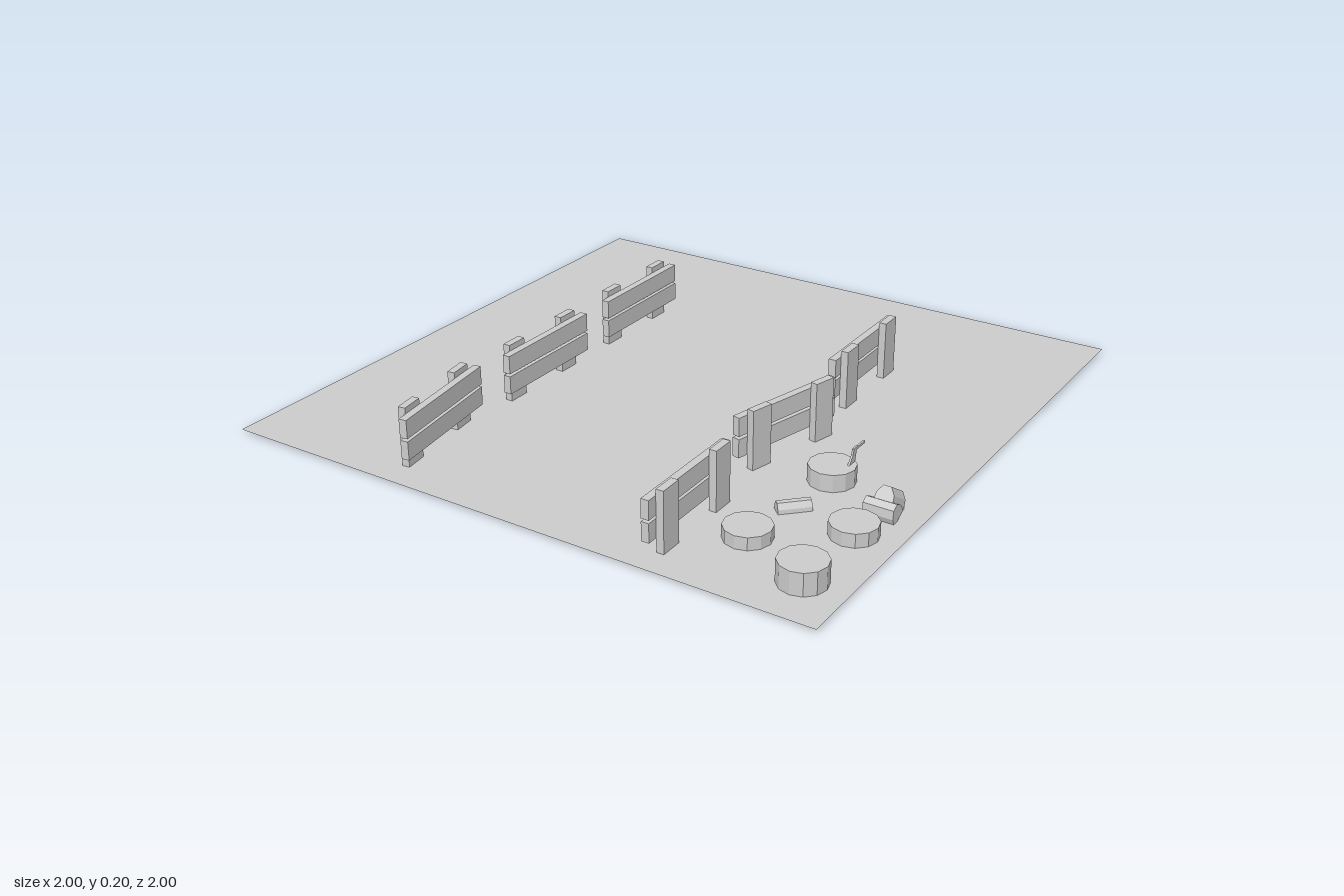
import * as THREE from 'three';

const GROUND_Y = 0.01;

export function createModel() {
  const model = new THREE.Group();
  const grey = new THREE.MeshStandardMaterial({ color: 0xcccccc });
  grey.name = 'plain grey';
  grey.flatShading = true;
  const groundGrey = grey.clone();
  groundGrey.name = 'ground grey';
  groundGrey.side = THREE.DoubleSide;

  function add(parent, name, geometry, x = 0, y = 0, z = 0, material = grey) {
    const mesh = new THREE.Mesh(geometry, material);
    mesh.name = name;
    mesh.position.set(x, y, z);
    parent.add(mesh);
    return mesh;
  }

  // Ground sheet
  add(model, 'ground', new THREE.PlaneGeometry(2, 2).rotateX(-Math.PI / 2), 0, GROUND_Y, 0, groundGrey);

  // Fence section: two rails along z, two wide posts on one side
  const railGeometry = new THREE.BoxGeometry(0.025, 0.06, 0.407);
  const postGeometry = new THREE.BoxGeometry(0.024, 0.192, 0.074);
  function addFence(x, z, turn, side) {
    const fence = new THREE.Group();
    fence.name = 'fence';
    fence.position.set(x, 0, z);
    fence.rotation.y = turn;
    for (const y of [0.084, 0.153]) add(fence, 'rail', railGeometry, 0, y, 0);
    for (const pz of [-0.132, 0.132]) add(fence, 'post', postGeometry, side * 0.0245, 0.106, pz);
    model.add(fence);
  }
  addFence(-0.417, -0.3, 0, -1);
  addFence(-0.417, 0.228, 0, -1);
  addFence(-0.417, 0.737, 0.144, -1);
  addFence(0.446, -0.295, 0.01, 1);
  addFence(0.455, 0.21, -0.25, 1);
  addFence(0.453, 0.742, 0.008, 1);

  // Cut stumps: x, z, top height
  const stumps = [
    [0.67, 0.31, 0.065],
    [0.865, 0.545, 0.053],
    [0.63, 0.712, 0.05],
    [0.865, 0.828, 0.08],
  ];
  for (const [x, z, top] of stumps) {
    const height = top - GROUND_Y;
    add(model, 'stump', new THREE.CylinderGeometry(0.072, 0.072, height, 12), x, GROUND_Y + height / 2, z);
  }

  // Split firewood: rounded bark side up, flat side down, length along z
  function addFirewood(width, height, length, position, rotation) {
    const w = width / 2;
    const section = new THREE.Shape([
      [-w, 0], [w, 0], [w * 0.9, height * 0.57], [w * 0.4, height],
      [-w * 0.4, height], [-w * 0.9, height * 0.57],
    ].map(([x, y]) => new THREE.Vector2(x, y)));
    const geometry = new THREE.ExtrudeGeometry(section, { depth: length, bevelEnabled: false });
    geometry.translate(0, 0, -length / 2);
    add(model, 'firewood', geometry, ...position).rotation.set(...rotation);
  }
  addFirewood(0.06, 0.052, 0.095, [0.885, 0.015, 0.41], [0.5, Math.PI / 2, 0]);
  addFirewood(0.06, 0.052, 0.09, [0.888, 0.031, 0.388], [-0.57, 0, 0]);
  addFirewood(0.042, 0.04, 0.1, [0.66, 0.0, 0.515], [0, Math.PI * 0.75, 0]);

  // Hatchet stuck in a stump
  const hatchet = new THREE.Group();
  hatchet.name = 'hatchet';
  hatchet.position.set(0.714, 0.06, 0);
  hatchet.rotation.z = -0.06;
  const blade = new THREE.Shape([
    [-0.3, 0], [-0.262, 0], [-0.258, 0.04], [-0.252, 0.052], [-0.276, 0.052], [-0.28, 0.03],
  ].map(([x, y]) => new THREE.Vector2(x, y)));
  const bladeGeometry = new THREE.ExtrudeGeometry(blade, { depth: 0.006, bevelEnabled: false });
  bladeGeometry.translate(0, 0, -0.003).rotateY(Math.PI / 2);
  add(hatchet, 'hatchetHead', bladeGeometry);
  add(hatchet, 'hatchetHandle', new THREE.BoxGeometry(0.006, 0.008, 0.068), 0, 0.046, 0.243);
  model.add(hatchet);

  return model;
}
